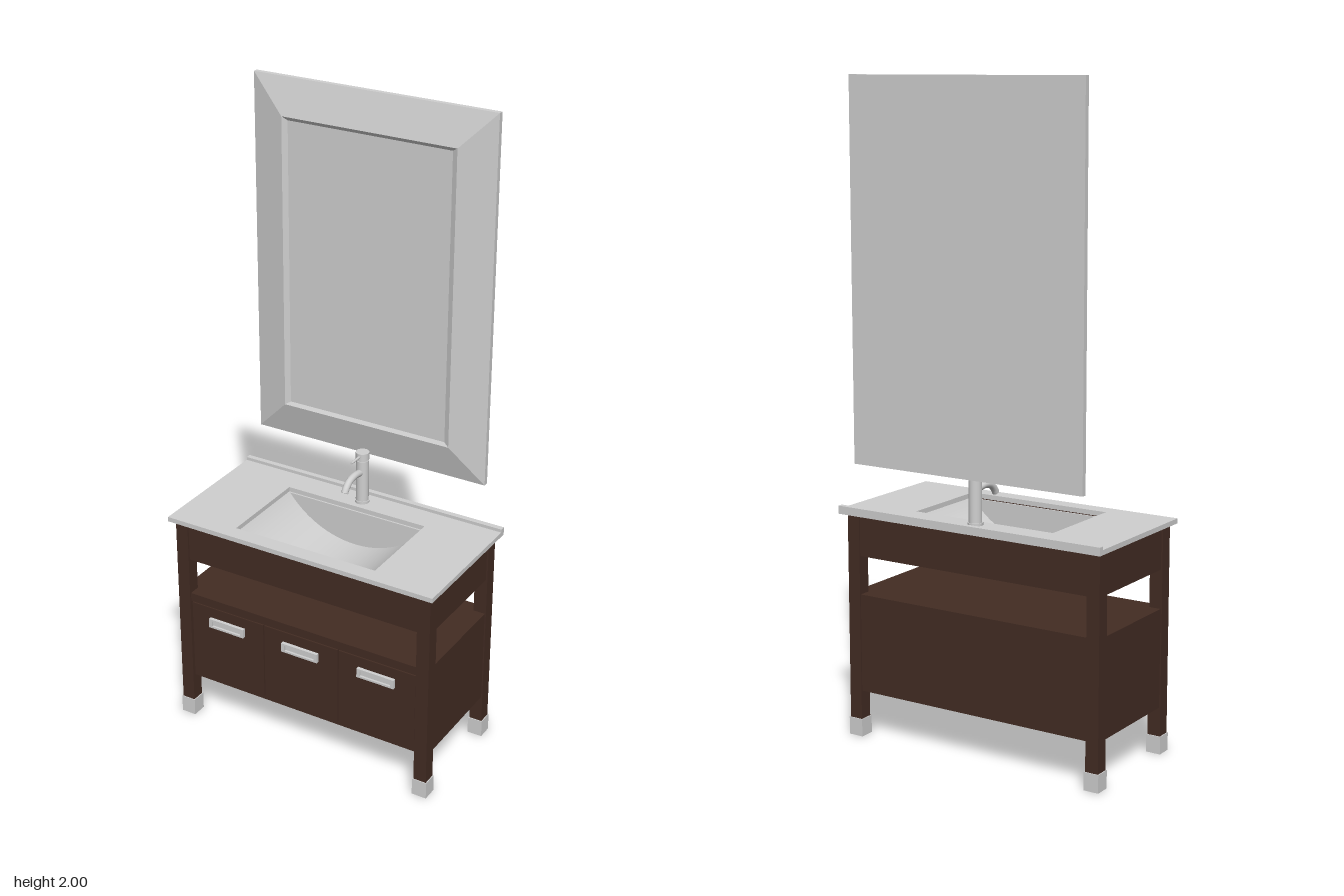
import * as THREE from 'three';

export function createModel() {
  const model = new THREE.Group();
  const mat = (name, color, side = THREE.FrontSide) => {
    const m = new THREE.MeshStandardMaterial({ color, side });
    m.name = name;
    return m;
  };
  const wood = mat('dark wood', 0x432c23);
  const stone = mat('pale stone', 0xd0d0d0, THREE.DoubleSide);
  const metal = mat('metal', 0xd0d0d0);

  const add = (name, geometry, material, parent = model) => {
    const mesh = new THREE.Mesh(geometry, material);
    mesh.name = name;
    parent.add(mesh);
    return mesh;
  };
  // box given by its limits on each axis
  const box = (name, material, [x0, x1], [y0, y1], [z0, z1], parent) => {
    const mesh = add(name, new THREE.BoxGeometry(x1 - x0, y1 - y0, z1 - z0), material, parent);
    mesh.position.set((x0 + x1) / 2, (y0 + y1) / 2, (z0 + z1) / 2);
    return mesh;
  };
  const rect = (T, x0, y0, x1, y1) => {
    const p = new T();
    p.moveTo(x0, y0);
    p.lineTo(x1, y0);
    p.lineTo(x1, y1);
    p.lineTo(x0, y1);
    p.closePath();
    return p;
  };
  const extrude = (shape, depth, curveSegments = 12) =>
    new THREE.ExtrudeGeometry(shape, { depth, bevelEnabled: false, curveSegments });

  // legs with metal feet, side panels
  for (const s of [-1, 1]) {
    for (const z of [0.185, -0.18]) {
      box('leg', wood, [s * 0.419 - 0.021, s * 0.419 + 0.021], [0.05, 0.7], [z - 0.021, z + 0.021]);
      box('foot', metal, [s * 0.419 - 0.024, s * 0.419 + 0.024], [0, 0.055], [z - 0.024, z + 0.024]);
    }
    box('sideApron', wood, [s * 0.424 - 0.011, s * 0.424 + 0.011], [0.57, 0.7], [-0.17, 0.17]);
    box('sidePanel', wood, [s * 0.422 - 0.014, s * 0.422 + 0.014], [0.145, 0.45], [-0.17, 0.17]);
  }

  // aprons, cabinet body and shelf
  box('frontApron', wood, [-0.4, 0.4], [0.57, 0.7], [0.18, 0.2]);
  box('backApron', wood, [-0.4, 0.4], [0.57, 0.7], [-0.197, -0.177]);
  box('shelf', wood, [-0.41, 0.41], [0.422, 0.45], [-0.19, 0.201]);
  box('backPanel', wood, [-0.4, 0.4], [0.145, 0.45], [-0.197, -0.177]);
  box('cabinetBottom', wood, [-0.41, 0.41], [0.145, 0.16], [-0.19, 0.195]);
  box('cabinetFront', wood, [-0.4, 0.4], [0.15, 0.43], [0.17, 0.19]);

  // doors with recessed metal pulls
  for (const x of [-0.264, 0, 0.264]) {
    box('door', wood, [x - 0.13, x + 0.13], [0.16, 0.418], [0.185, 0.2]);
    const frame = rect(THREE.Shape, -0.063, -0.015, 0.063, 0.015);
    frame.holes.push(rect(THREE.Path, -0.052, -0.009, 0.052, 0.009));
    add('handleFrame', extrude(frame, 0.012), metal).position.set(x, 0.369, 0.199);
    box('handlePlate', metal, [x - 0.055, x + 0.055], [0.358, 0.38], [0.199, 0.204]);
  }

  // countertop with basin opening, and low back ledge
  const top = rect(THREE.Shape, -0.455, -0.225, 0.455, 0.227);
  top.holes.push(rect(THREE.Path, -0.24, -0.175, 0.24, 0.125));
  const counter = add('countertop', extrude(top, 0.015), stone);
  counter.rotation.x = -Math.PI / 2;
  counter.position.y = 0.7;
  box('backLedge', stone, [-0.455, 0.455], [0.715, 0.725], [-0.227, -0.21]);

  // trough basin: curved shell with flat ends
  const R = 0.3, a = Math.asin(0.24 / R);
  const cy = 0.7 + R * Math.cos(a);
  const from = -Math.PI / 2 - a, to = -Math.PI / 2 + a;
  const shell = new THREE.Shape();
  shell.absarc(0, cy, R + 0.006, from, to, false);
  shell.absarc(0, cy, R, to, from, true);
  add('basinShell', extrude(shell, 0.3, 32), stone).position.z = -0.125;
  const end = new THREE.Shape();
  end.absarc(0, cy, R + 0.006, from, to, false);
  for (const z of [-0.131, 0.175]) add('basinEnd', extrude(end, 0.006, 32), stone).position.z = z;

  // drain
  const drain = add('drain', new THREE.CylinderGeometry(0.011, 0.011, 0.008, 20), metal);
  drain.position.set(0, cy - R + 0.004, 0.025);
  const ring = add('drainRing', new THREE.TorusGeometry(0.015, 0.003, 8, 24), metal);
  ring.rotation.x = Math.PI / 2;
  ring.position.set(0, cy - R + 0.003, 0.025);

  // faucet
  const faucet = new THREE.Group();
  faucet.name = 'faucet';
  faucet.position.set(0, 0.715, -0.165);
  model.add(faucet);
  const turned = (name, r, y0, y1) =>
    add(name, new THREE.CylinderGeometry(r, r, y1 - y0, 24), metal, faucet).position.set(0, (y0 + y1) / 2, 0);
  turned('faucetBase', 0.023, 0, 0.008);
  turned('faucetBody', 0.02, 0.008, 0.144);
  turned('faucetNeck', 0.017, 0.144, 0.148);
  turned('faucetCap', 0.021, 0.148, 0.171);
  const path = new THREE.CatmullRomCurve3([
    [0.01, 0.105], [0.05, 0.11], [0.08, 0.104], [0.098, 0.09], [0.107, 0.077],
  ].map(([z, y]) => new THREE.Vector3(0, y, z)));
  add('spout', new THREE.TubeGeometry(path, 20, 0.011, 14), metal, faucet);
  const tip = add('spoutTip', new THREE.CircleGeometry(0.011, 14), metal, faucet);
  tip.position.copy(path.getPoint(1));
  tip.lookAt(path.getPoint(1).add(path.getTangent(1)).add(faucet.position));
  const lever = add('lever', new THREE.CylinderGeometry(0.004, 0.004, 0.055, 10), metal, faucet);
  lever.rotation.x = Math.PI / 2;
  lever.position.set(0, 0.161, 0.04);

  // mirror: bevelled frame from rectangular loops, with a sunken panel
  const mirror = new THREE.Group();
  mirror.name = 'mirror';
  model.add(mirror);
  const loops = [
    [0.395, 0.86, 2, -0.222],
    [0.395, 0.86, 2, -0.206],
    [0.285, 0.97, 1.89, -0.177],
    [0.268, 0.981, 1.879, -0.184],
  ].map(([w, y0, y1, z]) => [[-w, y0, z], [w, y0, z], [w, y1, z], [-w, y1, z]]);
  const pos = [];
  for (let i = 0; i < loops.length - 1; i++) {
    for (let k = 0; k < 4; k++) {
      const n = (k + 1) % 4;
      const [p, q, r, s] = [loops[i][k], loops[i][n], loops[i + 1][n], loops[i + 1][k]];
      pos.push(...p, ...q, ...r, ...p, ...r, ...s);
    }
  }
  const frameGeo = new THREE.BufferGeometry();
  frameGeo.setAttribute('position', new THREE.Float32BufferAttribute(pos, 3));
  frameGeo.computeVertexNormals();
  add('mirrorFrame', frameGeo, metal, mirror);
  box('mirrorPanel', metal, [-0.268, 0.268], [0.981, 1.879], [-0.2, -0.184], mirror);
  const back = add('mirrorBack', new THREE.PlaneGeometry(0.79, 1.14), metal, mirror);
  back.rotation.y = Math.PI;
  back.position.set(0, 1.43, -0.222);

  return model;
}
